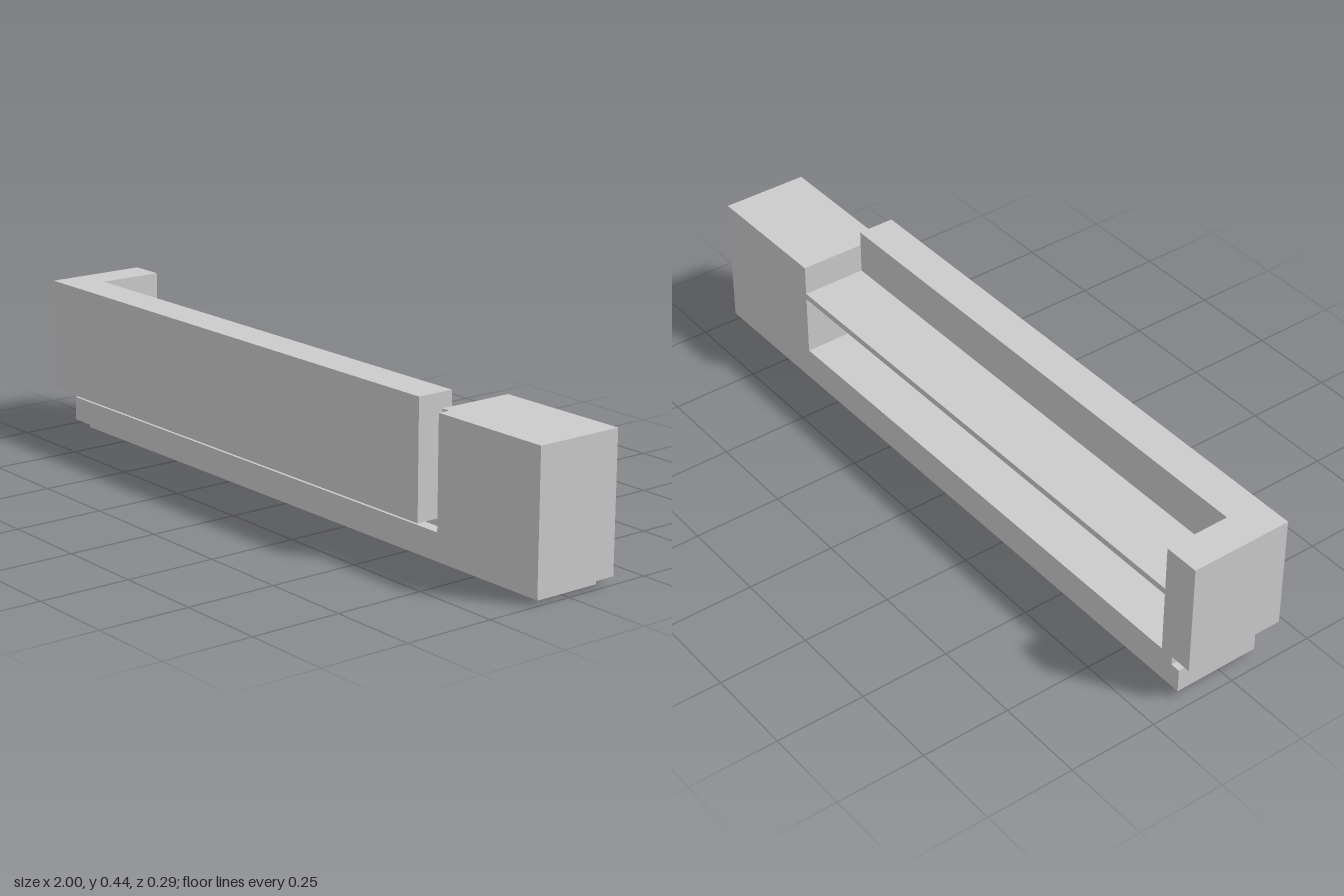
import * as THREE from 'three';

const material = new THREE.MeshStandardMaterial({ color: 0xcccccc, flatShading: true });

// Box given by its minimum and maximum on each axis
function slab(name, [x0, x1], [y0, y1], [z0, z1]) {
  const geo = new THREE.BoxGeometry(x1 - x0, y1 - y0, z1 - z0);
  geo.translate((x0 + x1) / 2, (y0 + y1) / 2, (z0 + z1) / 2);
  const mesh = new THREE.Mesh(geo, material);
  mesh.name = name;
  return mesh;
}

const outline = (pts) => new THREE.Shape(pts.map(([a, b]) => new THREE.Vector2(a, b)));

// Front-view (x, y) outline extruded from z0 to z1
function profile(name, pts, z0, z1) {
  const geo = new THREE.ExtrudeGeometry(outline(pts), { depth: z1 - z0, bevelEnabled: false });
  geo.translate(0, 0, z0);
  const mesh = new THREE.Mesh(geo, material);
  mesh.name = name;
  return mesh;
}

// Plan (x, z) outline raised from y0 to y1, with an optional hole
function plan(name, pts, y0, y1, hole) {
  const flip = (list) => list.map(([x, z]) => [x, -z]);
  const shape = outline(flip(pts));
  if (hole) shape.holes.push(outline(flip(hole)));
  const geo = new THREE.ExtrudeGeometry(shape, { depth: y1 - y0, bevelEnabled: false });
  geo.rotateX(-Math.PI / 2);
  geo.translate(0, y0, 0);
  const mesh = new THREE.Mesh(geo, material);
  mesh.name = name;
  return mesh;
}

const rect = (x0, x1, z0, z1) => [[x0, z0], [x1, z0], [x1, z1], [x0, z1]];

export function createModel() {
  const desk = new THREE.Group();
  desk.name = 'receptionDesk';

  const back = -0.145, front = 0.103, wall = 0.028;
  const left = -0.965, right = 1, step = 0.64;
  const bottom = 0.022, baseTop = 0.09, blockTop = 0.393;

  // Hollow L-shaped body: low base and tall end block, open underneath
  const body = new THREE.Group();
  body.name = 'body';
  const side = [[left, bottom], [right, bottom], [right, blockTop], [step, blockTop], [step, baseTop], [left, baseTop]];
  const inside = [back + wall, front - wall];
  body.add(
    profile('bodyFront', side, front - wall, front),
    profile('bodyBack', side, back, back + wall),
    slab('baseEnd', [left, left + wall], [bottom, baseTop], inside),
    slab('baseTop', [left + wall, step + wall], [baseTop - wall, baseTop], inside),
    slab('blockInnerEnd', [step, step + wall], [baseTop, blockTop], inside),
    slab('blockTop', [step + wall, right - wall], [blockTop - wall, blockTop], inside),
    slab('blockOuterEnd', [right - wall, right], [bottom, blockTop], inside),
  );
  desk.add(body);

  // Recessed plinth ring on the floor
  desk.add(plan('plinth', rect(-0.938, 0.971, -0.116, 0.074), 0, 0.03,
    rect(-0.924, 0.957, -0.102, 0.06)));

  // Set-back spacer that makes the shadow gap under and beside the counter
  desk.add(profile('spacer', [
    [-0.938, baseTop], [step, baseTop], [step, blockTop],
    [0.615, blockTop], [0.615, 0.115], [-0.938, 0.115],
  ], back, 0.07));

  // Tall counter: front panel with a return at one end
  desk.add(plan('counter', [
    [-1, back], [-0.9, back], [-0.9, 0.04], [0.615, 0.04], [0.615, 0.145], [-1, 0.145],
  ], 0.115, 0.435));

  // Worktop behind the panel
  desk.add(slab('worktop', [-0.9, 0.615], [0.29, 0.308], [back, 0.04]));

  return desk;
}
